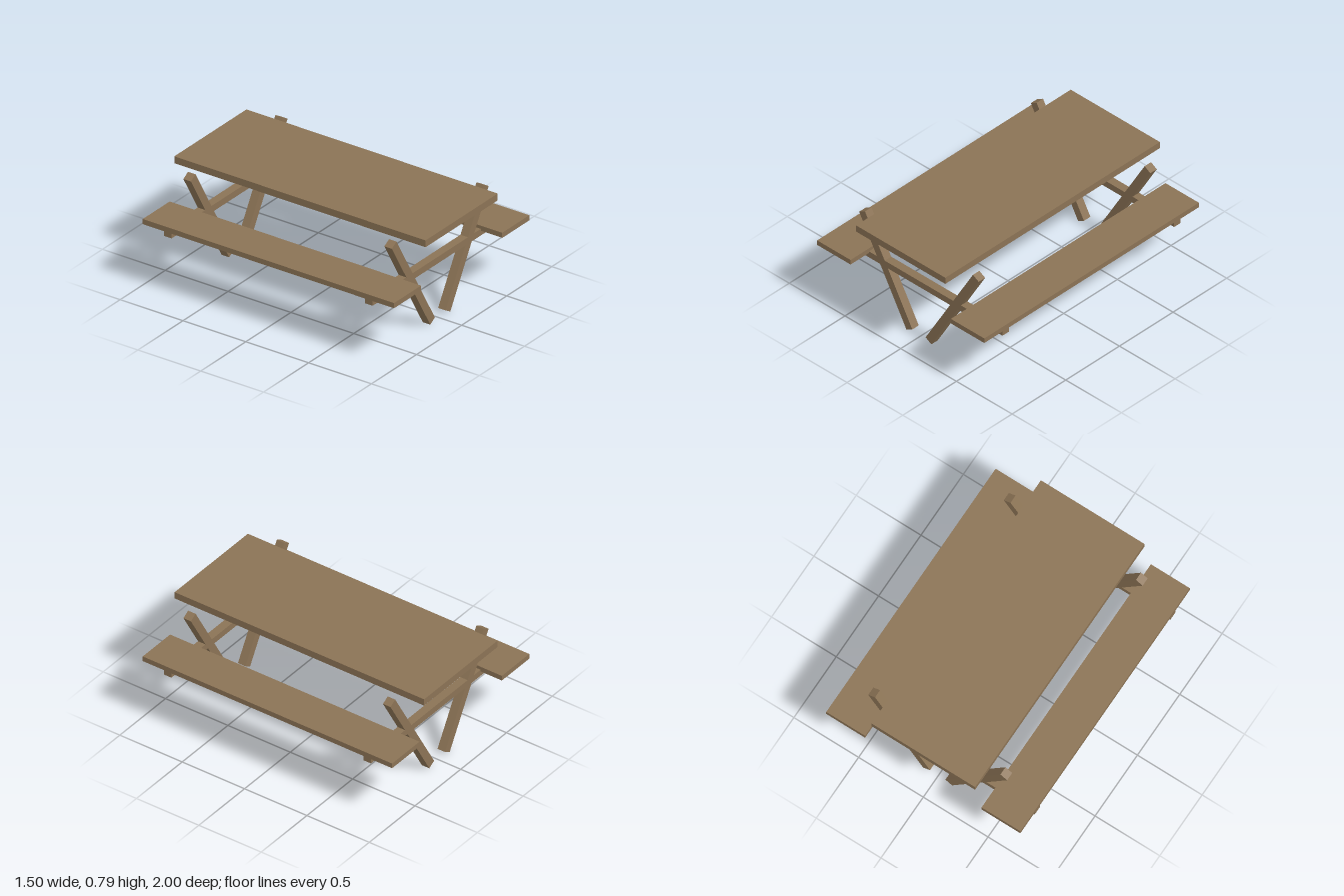
import * as THREE from 'three';

export function createModel() {
  const group = new THREE.Group();
  group.name = 'picnicTable';
  const wood = new THREE.MeshStandardMaterial({ color: 0x8b7355 });
  wood.name = 'brown wood';

  function plank(name, size, position, tilt = 0) {
    const mesh = new THREE.Mesh(new THREE.BoxGeometry(...size), wood);
    mesh.name = name;
    mesh.position.set(...position);
    mesh.rotation.z = tilt;
    group.add(mesh);
  }

  // Table top
  plank('tableTop', [0.8, 0.05, 2], [0, 0.766, 0]);

  // Bench seats on both sides
  for (const [side, s] of [['left', 1], ['right', -1]]) {
    plank(`${side}Bench`, [0.3, 0.037, 2], [s * 0.6, 0.464, 0]);
  }

  // Splayed legs and cross beam at each end
  for (const [end, z] of [['front', 0.8], ['back', -0.8]]) {
    plank(`${end}CrossBeam`, [1.5, 0.048, 0.06], [0, 0.435, z]);
    for (const [side, s] of [['Left', 1], ['Right', -1]]) {
      plank(`${end}${side}Leg`, [0.06, 0.85, 0.06], [s * 0.298, 0.383, z], -s * Math.PI / 6);
    }
  }

  return group;
}
